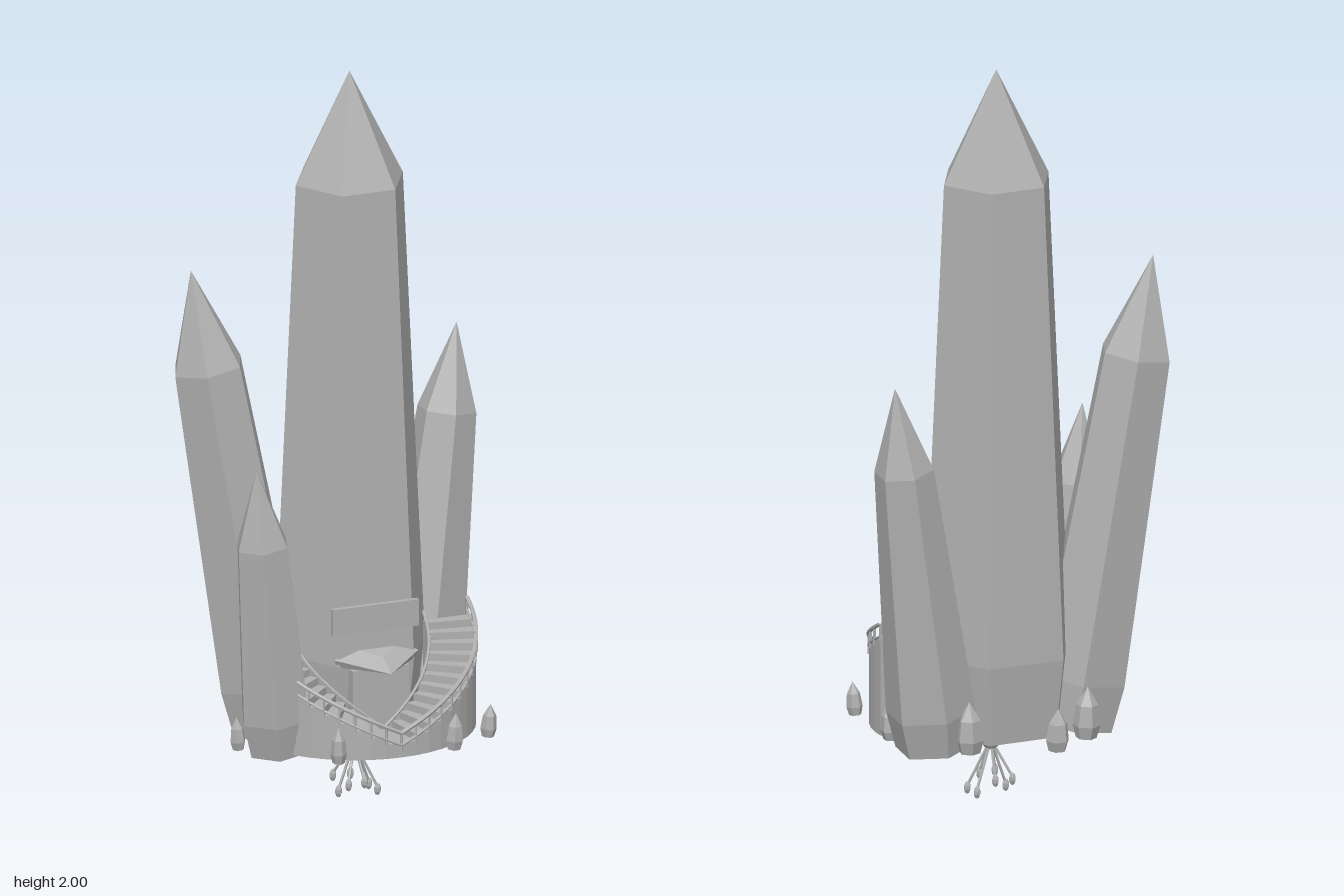
import * as THREE from 'three';

const stone = new THREE.MeshStandardMaterial({ color: 0xb0b0b0, flatShading: true });
stone.name = 'grey crystal';

const V = (x, y, z) => new THREE.Vector3(x, y, z);
const STAIR = V(0.027, 0.2, 0.007); // centre of the curved stairs

export function createModel() {
  const model = new THREE.Group();

  function add(name, geometry, parent = model) {
    const mesh = new THREE.Mesh(geometry, stone);
    mesh.name = name;
    parent.add(mesh);
    return mesh;
  }

  // Six-sided crystal from base to tip; rings are [fraction of length, radius]
  function crystal(name, base, tip, rings, spinDeg, sides = 6, parent = model) {
    const axis = tip.clone().sub(base);
    const length = axis.length();
    const profile = [new THREE.Vector2(0, 0)];
    rings.forEach(([t, r]) => profile.push(new THREE.Vector2(r, t * length)));
    profile.push(new THREE.Vector2(0, length));
    const geometry = new THREE.LatheGeometry(profile, sides);
    geometry.rotateY(THREE.MathUtils.degToRad(spinDeg));
    const mesh = add(name, geometry, parent);
    mesh.position.copy(base);
    mesh.quaternion.setFromUnitVectors(V(0, 1, 0), axis.normalize());
    return mesh;
  }

  // Large crystals
  crystal('mainTower', V(0.025, 0.195, -0.027), V(0.025, 2, -0.027),
    [[0, 0.19], [0.12, 0.215], [0.834, 0.153]], 30);
  crystal('tallRightCrystal', V(-0.175, 0.195, -0.08), V(-0.385, 1.465, -0.13),
    [[0, 0.115], [0.1, 0.13], [0.79, 0.1]], 37);
  crystal('leftCrystal', V(0.25, 0.195, -0.12), V(0.395, 1.21, -0.18),
    [[0, 0.105], [0.1, 0.12], [0.77, 0.08]], -5);
  crystal('smallRightCrystal', V(-0.24, 0.195, 0.125), V(-0.32, 0.99, 0.165),
    [[0, 0.085], [0.12, 0.1], [0.735, 0.074]], 40);

  // Little shards round the base: x, z, radius, height
  const shards = new THREE.Group();
  shards.name = 'shards';
  model.add(shards);
  [[-0.143, -0.225, 0.037, 0.14], [-0.022, -0.3, 0.032, 0.115], [0.195, -0.22, 0.038, 0.14],
    [0.313, 0.232, 0.022, 0.09], [0.19, 0.295, 0.025, 0.1], [-0.137, 0.29, 0.022, 0.1],
    [-0.337, 0.082, 0.021, 0.09], [0.325, -0.015, 0.03, 0.1]].forEach(([x, z, r, h], i) =>
    crystal('shard', V(x, 0.195, z), V(x * 1.02, 0.195 + h, z * 1.02),
      [[0, r * 0.75], [0.25, r], [0.65, r * 0.8]], i * 25, 6, shards));

  // Twin curved stairs climbing from the front centre to both sides
  const STEPS = 12, INNER = 0.195, OUTER = 0.32, RISE = 0.24;
  const stepAngle = Math.PI / 2 / STEPS;
  for (const side of [1, -1]) {
    const stairs = new THREE.Group();
    stairs.name = side > 0 ? 'leftStairs' : 'rightStairs';
    stairs.position.copy(STAIR);
    model.add(stairs);

    for (let i = 0; i < STEPS; i++) {
      const a0 = side * i * stepAngle, a1 = side * (i + 1) * stepAngle;
      const corner = (r, a) => new THREE.Vector2(r * Math.sin(a), -r * Math.cos(a));
      const sector = new THREE.Shape([
        corner(INNER, a0), corner(OUTER, a0), corner(OUTER, a1), corner(INNER, a1)]);
      const step = new THREE.ExtrudeGeometry(sector,
        { depth: 0.02 + (i + 1) * RISE / STEPS, bevelEnabled: false });
      add('step', step.rotateX(-Math.PI / 2), stairs);
    }

    // Rails and balusters
    const along = (r, y, t) => {
      const a = side * t * Math.PI / 2;
      return V(r * Math.sin(a), y + t * RISE, r * Math.cos(a));
    };
    const rail = (name, r, y, thick) => {
      const points = [];
      for (let i = 0; i <= 12; i++) points.push(along(r, y, i / 12));
      add(name, new THREE.TubeGeometry(new THREE.CatmullRomCurve3(points), 24, thick, 6), stairs);
    };
    rail('handRail', OUTER, 0.068, 0.006);
    rail('lowerRail', OUTER, 0.034, 0.004);
    rail('innerRail', INNER, 0.045, 0.004);
    for (let i = 0; i <= STEPS; i++) {
      const post = add('railPost', new THREE.CylinderGeometry(0.004, 0.004, 0.05, 5), stairs);
      post.position.copy(along(OUTER, 0.043, i / STEPS));
    }
  }

  // Entrance: door block, faceted canopy and blank board above
  add('doorBlock', new THREE.BoxGeometry(0.16, 0.2, 0.06)).position.set(0.027, 0.305, 0.155);
  const canopy = new THREE.BufferGeometry();
  canopy.setAttribute('position', new THREE.Float32BufferAttribute([
    -0.12, 0.432, 0.155, 0.12, 0.432, 0.155, 0, 0.41, 0.258,
    -0.07, 0.457, 0.14, 0.07, 0.457, 0.14, 0, 0.44, 0.205,
    -0.11, 0.41, 0.15, 0.11, 0.41, 0.15], 3));
  canopy.setIndex([3, 5, 4, 0, 2, 5, 0, 5, 3, 2, 1, 4, 2, 4, 5,
    0, 6, 2, 2, 7, 1, 6, 7, 2, 0, 3, 6, 1, 7, 4, 3, 4, 7, 3, 7, 6]);
  canopy.computeVertexNormals();
  add('canopy', canopy).position.x = 0.027;
  add('board', new THREE.BoxGeometry(0.245, 0.073, 0.014)).position.set(0.018, 0.542, 0.166);

  // Hanging lamp beneath the tower
  const lamp = new THREE.Group();
  lamp.name = 'hangingLamp';
  lamp.position.set(0.023, 0.148, 0.01);
  model.add(lamp);
  const mount = add('lampMount', new THREE.ConeGeometry(0.05, 0.025, 4), lamp);
  mount.rotation.x = Math.PI;
  mount.position.y = 0.035;
  add('lampRod', new THREE.CylinderGeometry(0.006, 0.006, 0.06, 6), lamp).position.y = 0.03;
  add('lampBall', new THREE.SphereGeometry(0.026, 10, 8), lamp);
  for (let i = 0; i < 7; i++) {
    const a = i * Math.PI * 2 / 7 + 0.4;
    const reach = i % 2 ? 0.045 : 0.062;
    const end = V(reach * Math.cos(a), i % 3 ? -0.095 : -0.125, reach * Math.sin(a));
    const path = new THREE.LineCurve3(V(0, 0, 0), end);
    add('lampArm', new THREE.TubeGeometry(path, 1, 0.004, 5), lamp);
    const drop = add('lampDrop', new THREE.SphereGeometry(0.01, 6, 5), lamp);
    drop.scale.y = 1.7;
    drop.position.copy(end).y -= 0.006;
  }

  return model;
}
